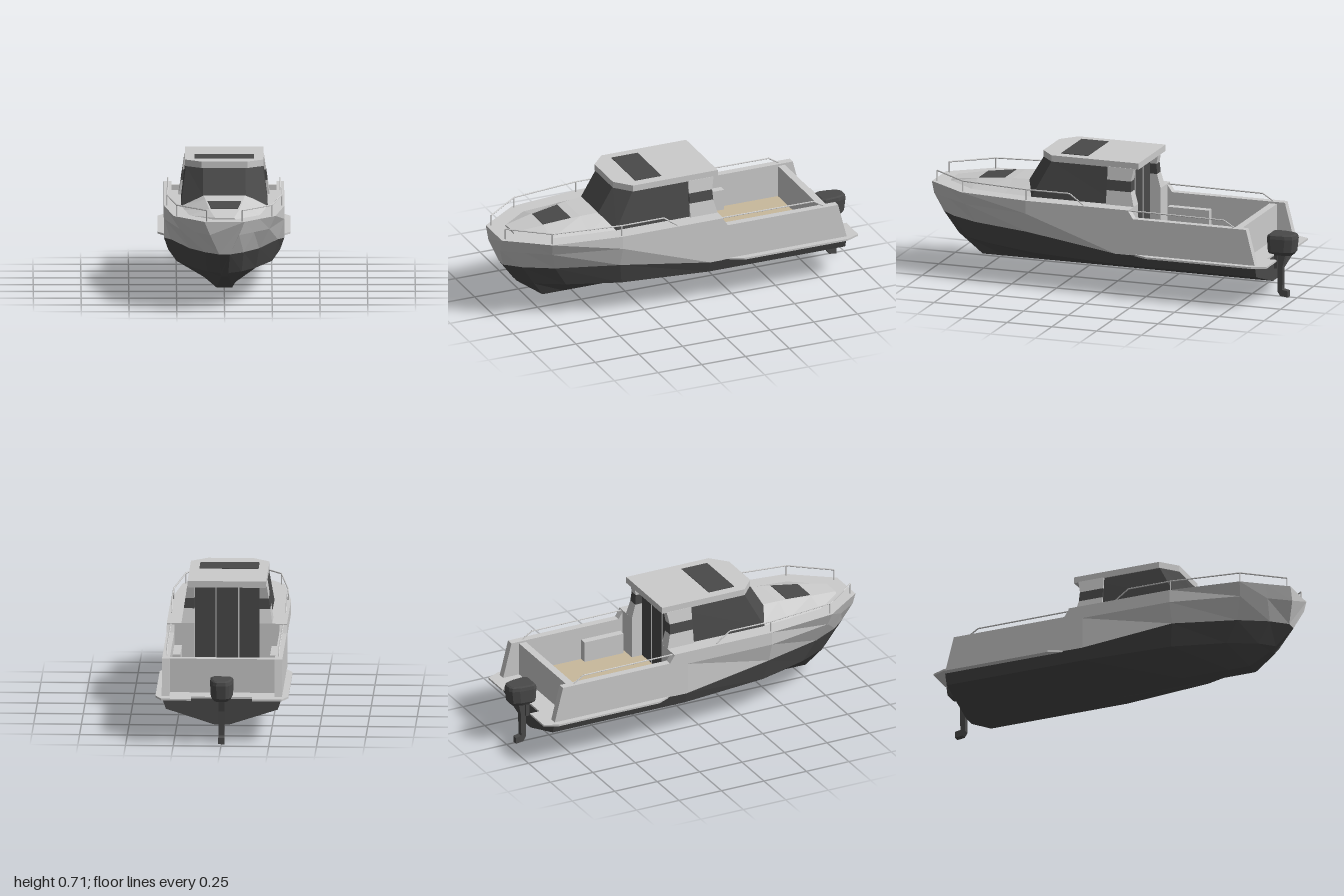
import * as THREE from 'three';

const GREY = 0xcccccc, DARK = 0x4a4a4a, TAN = 0xc8b99c;

export function createModel() {
  const boat = new THREE.Group();
  boat.name = 'cabinBoat';

  const materials = {};
  const mat = (color) => (materials[color] ??= new THREE.MeshStandardMaterial({ color, flatShading: true }));
  const add = (name, geometry, color = GREY) => {
    const mesh = new THREE.Mesh(geometry, mat(color));
    mesh.name = name;
    boat.add(mesh);
    return mesh;
  };

  // Box given by its limits on each axis
  const box = (name, [x0, x1], [y0, y1], [z0, z1], color) => {
    const g = new THREE.BoxGeometry(x1 - x0, y1 - y0, z1 - z0);
    g.translate((x0 + x1) / 2, (y0 + y1) / 2, (z0 + z1) / 2);
    return add(name, g, color);
  };

  // Closed solid through rings of points, capped at both ends, always facing outward
  const loft = (name, rings, color) => {
    const tris = [], n = rings[0].length;
    for (let i = 0; i < rings.length - 1; i++) {
      for (let j = 0; j < n; j++) {
        const k = (j + 1) % n;
        const a = rings[i][j], b = rings[i][k], c = rings[i + 1][k], d = rings[i + 1][j];
        tris.push([a, b, c], [a, c, d]);
      }
    }
    const first = rings[0], last = rings[rings.length - 1];
    for (let j = 1; j < n - 1; j++) {
      tris.push([first[0], first[j + 1], first[j]], [last[0], last[j], last[j + 1]]);
    }
    const V = (p) => new THREE.Vector3(...p);
    const volume = tris.reduce((s, [a, b, c]) => s + V(a).dot(V(b).cross(V(c))), 0);
    if (volume < 0) tris.forEach((t) => t.reverse());
    const g = new THREE.BufferGeometry();
    g.setAttribute('position', new THREE.Float32BufferAttribute(tris.flat(2), 3));
    g.computeVertexNormals();
    return add(name, g, color);
  };

  // Slab with a plan outline of [x, z] points
  const planSlab = (name, pts, y0, y1, color) => {
    const shape = new THREE.Shape(pts.map(([x, z]) => new THREE.Vector2(x, -z)));
    const g = new THREE.ExtrudeGeometry(shape, { depth: y1 - y0, bevelEnabled: false });
    return add(name, g.rotateX(-Math.PI / 2).translate(0, y0, 0), color);
  };

  // Slab with a side outline of [z, y] points
  const sideSlab = (name, pts, x0, x1, color) => {
    const shape = new THREE.Shape(pts.map(([z, y]) => new THREE.Vector2(z, y)));
    const g = new THREE.ExtrudeGeometry(shape, { depth: x1 - x0, bevelEnabled: false });
    return add(name, g.rotateY(-Math.PI / 2).translate(x1, 0, 0), color);
  };

  // Thin round bar between two points
  const bar = (name, a, b, r = 0.004) => {
    const from = new THREE.Vector3(...a), to = new THREE.Vector3(...b);
    const dir = to.clone().sub(from);
    const mesh = add(name, new THREE.CylinderGeometry(r, r, dir.length(), 6));
    mesh.position.copy(from).add(to).multiplyScalar(0.5);
    mesh.quaternion.setFromUnitVectors(new THREE.Vector3(0, 1, 0), dir.normalize());
  };

  const mirrorPts = (pts) => [...pts, ...[...pts].reverse().map(([x, ...rest]) => [-x, ...rest])];

  // Lower hull: knuckle, chine and keel at each station
  loft('lowerHull', [
    [[0.028, 0.297, 0.96], [0.02, 0.187, 0.88], [0.018, 0.165, 0.85]],
    [[0.1, 0.297, 0.88], [0.09, 0.186, 0.81], [0.04, 0.09, 0.74]],
    [[0.182, 0.297, 0.73], [0.165, 0.185, 0.66], [0.04, 0.09, 0.62]],
    [[0.28, 0.297, 0.4], [0.25, 0.18, 0.38], [0.04, 0.09, 0.36]],
    [[0.315, 0.234, -0.1], [0.293, 0.172, -0.1], [0.04, 0.09, -0.1]],
    [[0.315, 0.234, -0.88], [0.293, 0.172, -0.88], [0.04, 0.09, -0.88]],
  ].map(mirrorPts), DARK);

  // Topsides with flat foredeck: gunwale, middle and knuckle at each station
  loft('topsides', [
    [[0.105, 0.475, 1], [0.076, 0.405, 0.998], [0.028, 0.297, 0.96]],
    [[0.185, 0.475, 0.89], [0.154, 0.405, 0.89], [0.1, 0.297, 0.88]],
    [[0.267, 0.475, 0.78], [0.235, 0.405, 0.77], [0.182, 0.297, 0.73]],
    [[0.315, 0.475, 0.4], [0.315, 0.405, 0.4], [0.28, 0.297, 0.4]],
    [[0.315, 0.475, -0.1], [0.315, 0.405, -0.1], [0.315, 0.234, -0.1]],
  ].map(mirrorPts));

  // Cockpit
  box('cockpitFloor', [-0.28, 0.28], [0.24, 0.247], [-0.75, -0.1], TAN);
  box('cockpitRearWall', [-0.28, 0.28], [0.236, 0.42], [-0.785, -0.745]);
  planSlab('swimPlatform', [
    [0.31, -0.2], [0.348, -0.28], [0.348, -0.87], [0.315, -0.945], [0.16, -0.945], [0.16, -0.89],
    [-0.16, -0.89], [-0.16, -0.945], [-0.315, -0.945], [-0.348, -0.87], [-0.348, -0.28], [-0.31, -0.2],
  ], 0.23, 0.24);

  // Raised trunk on the foredeck with its hatch
  loft('foredeckTrunk', [
    [0.91, 0.06, 0.05, 0.484], [0.75, 0.187, 0.08, 0.507],
    [0.55, 0.212, 0.1, 0.531], [0.38, 0.228, 0.115, 0.541],
  ].map(([z, base, top, h]) => mirrorPts([[base, 0.474, z], [top, h, z]])));
  loft('foredeckHatch', [[0.75, 0.07, 0.509], [0.6, 0.088, 0.527]]
    .map(([z, w, y]) => mirrorPts([[w, y - 0.008, z], [w, y + 0.001, z]])), DARK);

  // Glazed cabin under a chamfered roof
  loft('cabinWindows', [
    [[0.225, 0.474, -0.1], [0.228, 0.474, 0.4], [0.112, 0.532, 0.455]],
    [[0.201, 0.672, -0.1], [0.201, 0.672, 0.295], [0.112, 0.672, 0.37]],
  ].map(mirrorPts), DARK);
  planSlab('cabinRoof', [
    [0.206, -0.19], [0.206, 0.295], [0.12, 0.372], [-0.12, 0.372], [-0.206, 0.295], [-0.206, -0.19],
  ], 0.67, 0.704);
  box('roofHatch', [-0.155, 0.155], [0.7, 0.707], [0.11, 0.26], DARK);

  // Rear doors with two seams
  box('cabinDoor', [-0.2, 0.2], [0.24, 0.672], [-0.115, -0.09], DARK);
  for (const x of [-0.06, 0.06]) box('doorSeam', [x - 0.003, x + 0.003], [0.245, 0.67], [-0.118, -0.11]);

  // Aft cabin pillars: cross-section at a height, leaning inward
  const pillarRing = (s, [y, zBack]) => {
    const out = 0.238 - (y - 0.475) * 0.15;
    return [[out, zBack], [out, -0.02], [0.17, -0.02], [0.17, zBack]].map(([x, z]) => [s * x, y, z]);
  };
  const levels = [[0.474, -0.175], [0.55, -0.155], [0.605, -0.152], [0.672, -0.165]];

  for (const s of [-1, 1]) {
    const span = (a, b) => (s > 0 ? [a, b] : [-b, -a]);

    // Cockpit side wall, ending in a raked wing
    sideSlab('cockpitSide', [
      [-0.17, 0.475], [-0.2, 0.43], [-0.83, 0.43], [-0.88, 0.236], [-0.17, 0.236],
    ], ...span(0.275, 0.315));
    box('sideSeat', span(0.235, 0.28), [0.24, 0.36], [-0.42, -0.19]);

    // Bulkhead beside the door and pillar with a narrow window
    box('bulkhead', span(0.17, 0.315), [0.234, 0.475], [-0.175, -0.095]);
    for (let i = 0; i < 3; i++) {
      loft(i === 1 ? 'pillarWindow' : 'cabinPillar', [levels[i], levels[i + 1]].map((l) => pillarRing(s, l)),
        i === 1 ? DARK : GREY);
    }

    // Bow rail and posts
    const bow = [[0.3, 0.475, 0.08], [0.3, 0.532, 0.16], [0.3, 0.532, 0.4], [0.25, 0.532, 0.775], [0.093, 0.532, 0.975]]
      .map(([x, y, z]) => [s * x, y, z]);
    bow.slice(1).forEach((p, i) => {
      bar('bowRail', bow[i], p);
      if (i > 0) bar('bowRailPost', [p[0], 0.474, p[2]], p);
    });

    // Stern rail
    const stern = [[-0.17, 0.468], [-0.7, 0.465], [-0.76, 0.428]].map(([z, y]) => [s * 0.294, y, z]);
    bar('sternRail', stern[0], stern[1]);
    bar('sternRail', stern[1], stern[2]);
  }

  // Outboard motor
  loft('motorCowl', [[0.232, 0.8, -0.862, -0.978], [0.25, 0.95, -0.854, -0.992],
    [0.32, 1, -0.85, -1], [0.338, 0.95, -0.852, -0.996], [0.344, 0.82, -0.86, -0.985]]
    .map(([y, w, zf, zb]) => mirrorPts([[0.05 * w, y, zf], [0.062 * w, y, zf - 0.02],
      [0.056 * w, y, zb + 0.05], [0.042 * w, y, zb + 0.012], [0.025 * w, y, zb]])), DARK);
  sideSlab('motorLeg', [
    [-0.885, 0.235], [-0.895, 0.17], [-0.895, 0.03], [-0.91, 0.006], [-0.953, 0],
    [-0.953, 0.034], [-0.922, 0.04], [-0.925, 0.17], [-0.94, 0.235],
  ], -0.016, 0.016, DARK);
  box('motorBracket', [-0.028, 0.028], [0.155, 0.24], [-0.9, -0.875], DARK);

  return boat;
}
